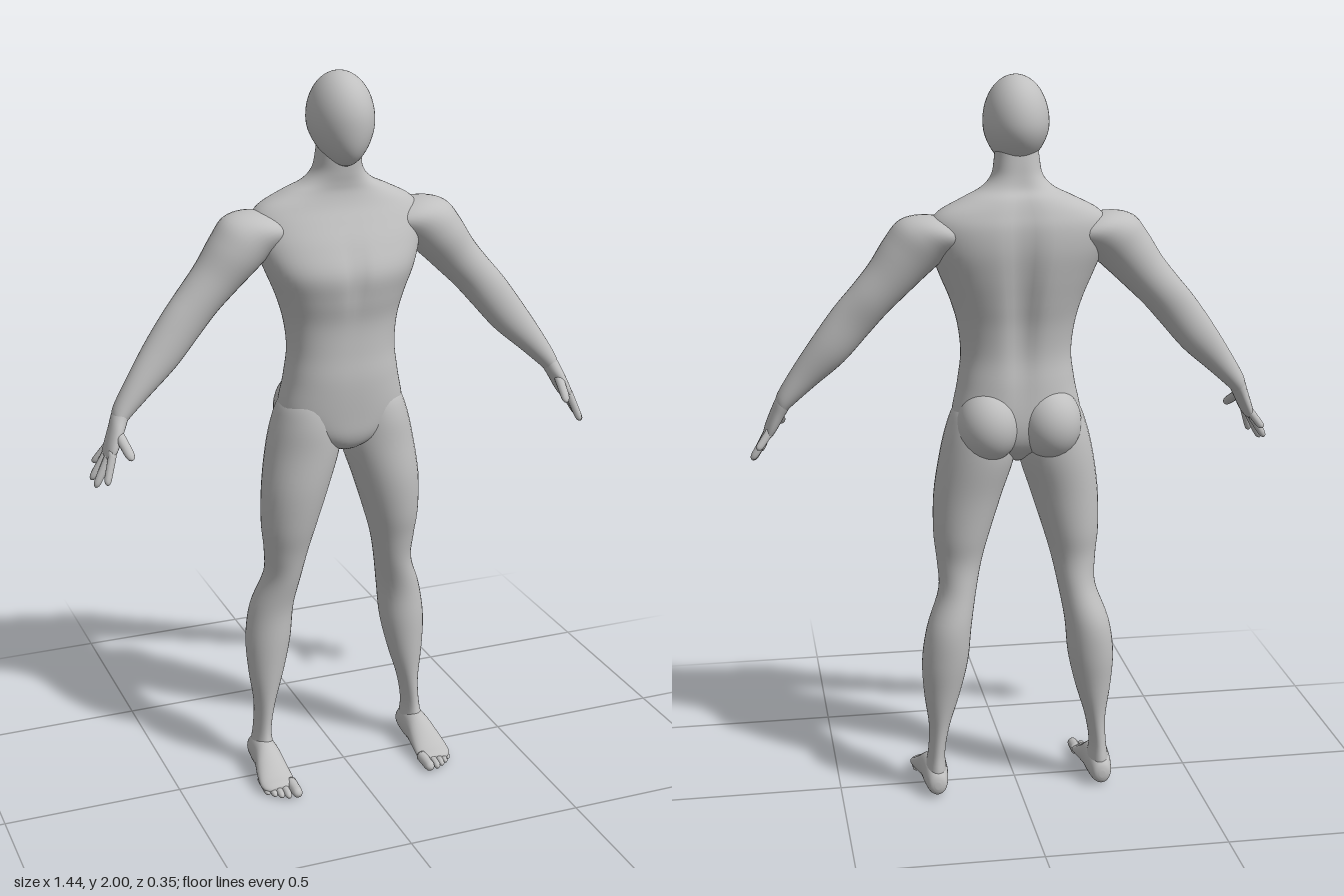
import * as THREE from 'three';

const skin = new THREE.MeshStandardMaterial({ color: 0xc0c0c0 });
skin.name = 'plain grey';

const X = [1, 0, 0], Y = [0, 1, 0], Z = [0, 0, 1];

// Smooth interpolation between the rows of a section table
function smoothRows(rows, steps) {
  const out = [], last = rows.length - 1;
  for (let i = 0; i < last; i++) {
    const [a, b, c, d] = [rows[Math.max(i - 1, 0)], rows[i], rows[i + 1], rows[Math.min(i + 2, last)]];
    for (let k = 0; k < steps; k++) {
      const t = k / steps;
      out.push(b.map((v, n) => {
        const cubic = 3 * (v - c[n]) + d[n] - a[n];
        const square = 2 * a[n] - 5 * v + 4 * c[n] - d[n];
        return v + 0.5 * t * (c[n] - a[n] + t * (square + t * cubic));
      }));
    }
  }
  out.push(rows[last]);
  return out;
}

// Skin over oval sections [x, y, z, radiusU, radiusV]; side -1 mirrors it in x
function sweep(name, rows, u, v, { side = 1, sides = 32, steps = 5, power = 1, rule } = {}) {
  const rings = smoothRows(rows, steps);
  const U = new THREE.Vector3(u[0] * side, u[1], u[2]), V = new THREE.Vector3(...v);
  const pos = [], index = [], p = new THREE.Vector3();
  const bend = (w) => Math.sign(w) * Math.pow(Math.abs(w), power);
  const centre = (r) => new THREE.Vector3(r[0] * side, r[1], r[2]);
  for (const r of rings) {
    for (let j = 0; j < sides; j++) {
      const a = (j / sides) * Math.PI * 2;
      p.copy(centre(r)).addScaledVector(U, bend(Math.cos(a)) * Math.max(r[3], 0.001))
        .addScaledVector(V, bend(Math.sin(a)) * Math.max(r[4], 0.001));
      if (rule) rule(p, r);
      pos.push(p.x, p.y, p.z);
    }
  }
  const first = centre(rings[0]), end = centre(rings.at(-1));
  const n = rings.length, capA = n * sides, capB = capA + 1;
  pos.push(...first.toArray(), ...end.toArray());
  const forward = U.clone().cross(V).dot(end.clone().sub(first)) > 0;
  const tri = (a, b, c) => (forward ? index.push(a, b, c) : index.push(a, c, b));
  for (let j = 0; j < sides; j++) {
    const k = (j + 1) % sides;
    for (let i = 0; i < n - 1; i++) {
      const a = i * sides + j, b = i * sides + k;
      tri(a, b, a + sides);
      tri(b, b + sides, a + sides);
    }
    tri(capA, k, j);
    tri(capB, (n - 1) * sides + j, (n - 1) * sides + k);
  }
  const g = new THREE.BufferGeometry();
  g.setAttribute('position', new THREE.Float32BufferAttribute(pos, 3));
  g.setIndex(index);
  g.computeVertexNormals();
  return named(name, g);
}

function named(name, geometry) {
  const m = new THREE.Mesh(geometry, skin);
  m.name = name;
  return m;
}

// Level section given as [y, xInner, xOuter, zFront, zBack]
const level = ([y, x0, x1, f, b]) => [(x0 + x1) / 2, y, (f + b) / 2, (x1 - x0) / 2, (f - b) / 2];

// Rounded digit from base to tip
function digit(name, base, tip, r, u, v, side) {
  const rows = [[0, 1], [0.45, 0.95], [0.8, 0.9], [0.94, 0.65], [1, 0.15]].map(([t, s]) =>
    [...base.map((c, i) => c + (tip[i] - c) * t), r * s, r * s]);
  return sweep(name, rows, u, v, { side, sides: 12, steps: 3 });
}

const bump = (d, w) => Math.exp(-(d * d) / (w * w));

function makeTorso() {
  const rows = [
    [0.965, 0.015, 0.0, -0.06], [0.985, 0.05, 0.05, -0.09], [1.02, 0.125, 0.073, -0.125],
    [1.08, 0.175, 0.08, -0.14], [1.18, 0.16, 0.085, -0.135], [1.26, 0.15, 0.08, -0.127],
    [1.34, 0.158, 0.08, -0.133], [1.41, 0.178, 0.093, -0.147], [1.48, 0.207, 0.1, -0.16],
    [1.55, 0.232, 0.073, -0.168], [1.61, 0.238, 0.042, -0.165], [1.65, 0.215, 0.022, -0.153],
    [1.685, 0.15, 0.012, -0.137], [1.71, 0.098, 0.012, -0.117], [1.74, 0.069, 0.016, -0.107],
    [1.78, 0.06, 0.02, -0.1], [1.84, 0.055, 0.02, -0.09],
  ].map(([y, w, f, b]) => level([y, -w, w, f, b]));
  // Furrows along the spine and the breastbone
  const rule = (p, r) => {
    if (p.z < r[2]) p.z += 0.022 * bump(p.x, 0.035) * bump(p.y - 1.43, 0.24);
    else p.z -= 0.01 * bump(p.x, 0.022) * bump(p.y - 1.47, 0.08);
  };
  return sweep('torso and neck', rows, X, Z, { sides: 64, power: 0.88, rule });
}

function makeHead() {
  const g = new THREE.SphereGeometry(1, 48, 32), a = g.attributes.position;
  for (let i = 0; i < a.count; i++) {
    const low = Math.max(0, -a.getY(i));
    // Narrow the jaw and carry the chin forward
    a.setXYZ(i, a.getX(i) * 0.087 * (1 - 0.25 * low * low), 1.878 + a.getY(i) * 0.122,
      -0.025 + a.getZ(i) * 0.115 + 0.03 * low * low);
  }
  g.computeVertexNormals();
  return named('head', g);
}

function makeLeg(side) {
  const leg = new THREE.Group();
  leg.name = side > 0 ? 'left leg' : 'right leg';
  const rows = [
    [1.16, 0.06, 0.12, 0.03, -0.08], [1.12, 0.02, 0.168, 0.06, -0.12], [1.06, 0.008, 0.193, 0.072, -0.135],
    [0.98, 0.006, 0.212, 0.072, -0.135], [0.87, 0.04, 0.228, 0.07, -0.12], [0.76, 0.075, 0.23, 0.055, -0.11],
    [0.68, 0.098, 0.222, 0.035, -0.1], [0.6, 0.115, 0.22, 0.018, -0.11], [0.5, 0.132, 0.255, 0, -0.133],
    [0.4, 0.142, 0.27, -0.002, -0.13], [0.3, 0.165, 0.265, -0.006, -0.115], [0.2, 0.195, 0.252, -0.01, -0.102],
    [0.12, 0.208, 0.255, -0.008, -0.1], [0.06, 0.204, 0.264, 0.01, -0.106], [0.025, 0.215, 0.255, 0, -0.09],
  ].map(level);
  leg.add(sweep('thigh and calf', rows, X, Z, { side }));

  const buttock = named('buttock', new THREE.SphereGeometry(1, 32, 24).scale(0.086, 0.1, 0.095));
  buttock.position.set(side * 0.084, 1.075, -0.08);
  leg.add(buttock);

  leg.add(sweep('foot', [
    [0.235, 0.04, -0.116, 0.008, 0.01], [0.235, 0.042, -0.105, 0.026, 0.032], [0.235, 0.05, -0.06, 0.035, 0.048],
    [0.236, 0.05, 0, 0.039, 0.048], [0.239, 0.036, 0.05, 0.046, 0.034], [0.24, 0.023, 0.095, 0.05, 0.021],
    [0.238, 0.019, 0.12, 0.046, 0.015], [0.237, 0.018, 0.132, 0.03, 0.008],
  ], X, Y, { side }));
  const toes = [[0.203, 0.176, 0.016], [0.228, 0.17, 0.011], [0.246, 0.16, 0.0105], [0.262, 0.147, 0.01], [0.277, 0.13, 0.01]];
  for (const [x, z, r] of toes) leg.add(digit('toe', [x, 0.02, z - 0.07], [x, r, z], r, X, Y, side));
  return leg;
}

function makeArm(side) {
  const arm = new THREE.Group();
  arm.name = side > 0 ? 'left arm' : 'right arm';
  arm.add(sweep('shoulder and arm', [
    [0.12, 1.6, -0.06, 0.04, 0.05], [0.19, 1.6, -0.058, 0.068, 0.083], [0.25, 1.58, -0.052, 0.079, 0.086],
    [0.295, 1.535, -0.046, 0.074, 0.079], [0.345, 1.475, -0.045, 0.064, 0.066], [0.395, 1.42, -0.042, 0.059, 0.058],
    [0.445, 1.362, -0.035, 0.058, 0.05], [0.505, 1.287, -0.028, 0.053, 0.046], [0.57, 1.213, -0.015, 0.039, 0.038],
    [0.622, 1.15, -0.006, 0.026, 0.033], [0.635, 1.125, 0, 0.018, 0.03],
  ], [0.765, 0.643, 0], Z, { side }));

  const across = [0.89, 0.45, 0];
  arm.add(sweep('palm', [
    [0.615, 1.165, -0.008, 0.018, 0.028], [0.628, 1.14, -0.002, 0.022, 0.033], [0.642, 1.11, 0.01, 0.02, 0.039],
    [0.66, 1.07, 0.021, 0.017, 0.043], [0.671, 1.047, 0.024, 0.012, 0.038], [0.674, 1.04, 0.024, 0.005, 0.028],
  ], across, Z, { side, sides: 24 }));
  const fingers = [
    ['index finger', 0.052, [0.69, 0.985, 0.079]], ['middle finger', 0.034, [0.712, 0.97, 0.044]],
    ['ring finger', 0.014, [0.715, 0.98, 0.012]], ['little finger', -0.004, [0.7, 1.015, -0.019]],
  ];
  for (const [name, z, tip] of fingers) arm.add(digit(name, [0.663, 1.065, z], tip, 0.0115, across, Z, side));
  arm.add(digit('thumb', [0.642, 1.105, 0.03], [0.628, 1.06, 0.111], 0.014, X, Y, side));
  return arm;
}

export function createModel() {
  const figure = new THREE.Group();
  figure.name = 'standing figure';
  figure.add(makeTorso(), makeHead());
  for (const side of [1, -1]) figure.add(makeArm(side), makeLeg(side));
  return figure;
}
